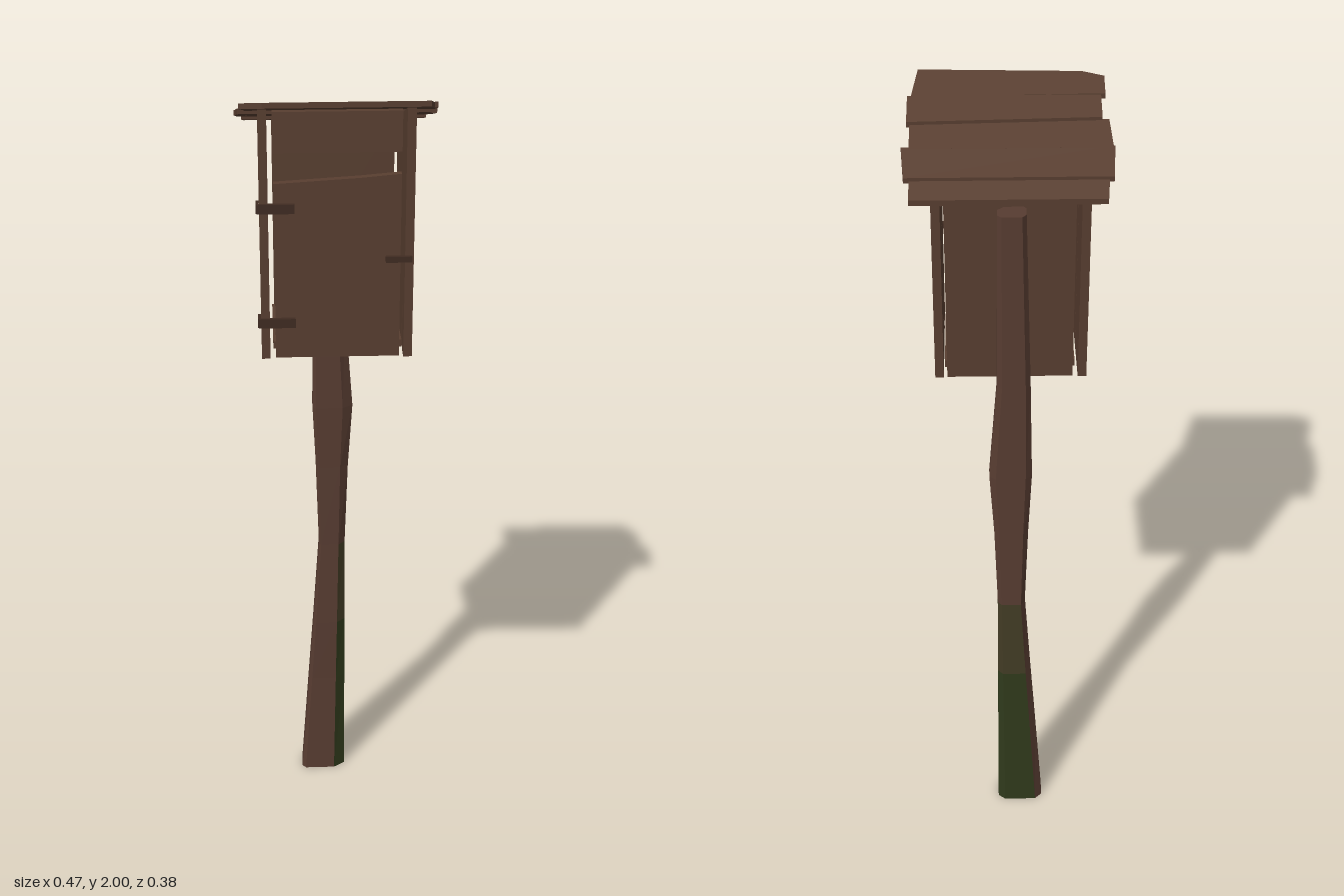
import * as THREE from 'three';

const mat = (name, color, extra = {}) => Object.assign(new THREE.MeshStandardMaterial({ color, ...extra }), { name });

export function createModel() {
  const wood = mat('wood', 0x583e30);
  const postWood = mat('post wood', 0x573c31);
  const moss = mat('moss', 0x303a1c);
  const paleMoss = mat('fading moss', 0x433c25);
  const hingeWood = mat('hinge wood', 0x3f2b21);
  const crackDark = mat('crack', 0x241811);

  const model = new THREE.Group();
  model.name = 'boxOnPost';
  const add = (name, geometry, material, parent = model) => {
    const mesh = new THREE.Mesh(geometry, material);
    mesh.name = name;
    parent.add(mesh);
    return mesh;
  };
  const extrude = (points, depth) => new THREE.ExtrudeGeometry(
    new THREE.Shape(points.map(([a, b]) => new THREE.Vector2(a, b))),
    { depth, bevelEnabled: false });

  // Board drawn in x, y and thickened towards +z
  const frontBoard = (name, points, z, depth, material = wood) =>
    add(name, extrude(points, depth).translate(0, 0, z), material);
  // Board drawn in z, y and thickened towards -x
  const sideBoard = (name, points, x, depth, material = wood) =>
    add(name, extrude(points, depth).rotateY(-Math.PI / 2).translate(x, 0, 0), material);

  // Roof slope: underside height at a given z
  const roofY = z => 1.917 + 0.365 * z;

  // Side walls of two boards each, with a wedge crack at the foot
  for (const [name, x] of [['leftWall', 0.17], ['rightWall', -0.16]]) {
    sideBoard(name + 'FrontBoard', [[0.001, 1.38], [0.085, 1.38], [0.097, 1.5], [0.112, 1.38],
      [0.15, 1.38], [0.15, roofY(0.15)], [0.001, roofY(0.001)]], x, 0.02);
    sideBoard(name + 'BackBoard', [[-0.13, 1.38], [-0.001, 1.38], [-0.001, roofY(-0.001)],
      [-0.13, roofY(-0.13)]], x, 0.02);
    sideBoard(name + 'Crack', [[0.085, 1.38], [0.112, 1.38], [0.097, 1.5]], x - 0.008, 0.004, crackDark);
  }

  // Back, floor, door and lintel, leaving a slot above the door
  frontBoard('back', [[-0.148, 1.38], [0.142, 1.38], [0.142, 1.872], [-0.148, 1.872]], -0.128, 0.018);
  add('floor', new THREE.BoxGeometry(0.3, 0.018, 0.235).translate(-0.003, 1.404, 0.008), wood);
  frontBoard('door', [[-0.147, 1.38], [0.14, 1.38], [0.14, 1.82], [0.05, 1.812], [-0.147, 1.8]], 0.126, 0.018);
  frontBoard('lintel', [[-0.148, 1.865], [0.142, 1.865], [0.142, 1.958], [-0.148, 1.958]], 0.11, 0.016);

  // Hinges wrap from the door round the side wall
  for (const y of [1.745, 1.47]) {
    const hinge = new THREE.Group();
    hinge.name = 'hinge';
    add('hingeStrap', new THREE.BoxGeometry(0.085, 0.022, 0.01).translate(-0.143, y, 0.152), hingeWood, hinge);
    add('hingeReturn', new THREE.BoxGeometry(0.007, 0.022, 0.03).translate(-0.184, y, 0.138), hingeWood, hinge);
    model.add(hinge);
  }
  add('latch', new THREE.BoxGeometry(0.06, 0.014, 0.01).translate(0.136, 1.622, 0.152), hingeWood);

  // Roof planks: plan corners in x, z, each tilted a little on the slope
  const planks = [
    [[-0.218, -0.118], [0.215, -0.118], [0.215, -0.175], [-0.213, -0.175]],
    [[-0.234, -0.033], [0.233, -0.033], [0.227, -0.121], [-0.228, -0.121]],
    [[-0.225, 0.045], [0.215, 0.032], [0.216, -0.038], [-0.231, -0.038]],
    [[-0.21, 0.11], [0.221, 0.11], [0.222, 0.032], [-0.21, 0.042]],
    [[-0.22, 0.168], [-0.17, 0.183], [0.198, 0.192], [0.213, 0.108], [-0.22, 0.114]],
  ];
  planks.forEach((plan, i) => {
    const geometry = extrude(plan.map(([x, z]) => [x, -z]), 0.013).rotateX(-Math.PI / 2);
    const p = geometry.attributes.position;
    const middle = (plan[0][1] + plan[plan.length - 1][1]) / 2;
    const lift = i % 2 ? 0.004 : 0;
    for (let k = 0; k < p.count; k++) {
      const z = p.getZ(k);
      p.setY(k, p.getY(k) + roofY(z) + lift - 0.05 * (z - middle));
    }
    geometry.computeVertexNormals();
    add('roofPlank', geometry, wood);
  });

  // Crooked post: rings of y, x min, x max, z back, z front
  const rings = [
    [0, -0.09, 0.028, -0.188, -0.118], [0.3, -0.069, 0.028, -0.188, -0.121],
    [0.48, -0.056, 0.028, -0.188, -0.122], [0.72, -0.04, 0.028, -0.187, -0.125],
    [0.95, -0.047, 0.036, -0.186, -0.126], [1.12, -0.055, 0.047, -0.184, -0.124],
    [1.38, -0.05, 0.028, -0.181, -0.128], [1.825, -0.038, 0.026, -0.176, -0.129],
  ];
  // Section as fractions of the ring, running from front left corner round the right
  const section = [[0, 0.85], [0.08, 1], [0.75, 1], [1, 0.7], [1, 0.2], [0.85, 0], [0.15, 0], [0, 0.25]];
  const n = section.length;
  const corner = (r, s) => {
    const [y, x0, x1, z0, z1] = rings[r];
    const [u, v] = section[s % n];
    return [x0 + (x1 - x0) * u, y, z0 + (z1 - z0) * v];
  };
  const faces = [[], [], []];
  for (let r = 0; r < rings.length - 1; r++) {
    for (let s = 0; s < n; s++) {
      const a = corner(r, s), b = corner(r, s + 1), c = corner(r + 1, s + 1), d = corner(r + 1, s);
      // Moss climbs the back and the side at x max
      const mossy = s >= 2 && s <= 5;
      const kind = mossy && r < 2 ? 1 : mossy && r === 2 ? 2 : 0;
      faces[kind].push(...a, ...b, ...c, ...a, ...c, ...d);
    }
  }
  const top = rings.length - 1;
  for (let s = 1; s < n - 1; s++) {
    faces[0].push(...corner(0, 0), ...corner(0, s + 1), ...corner(0, s));
    faces[0].push(...corner(top, 0), ...corner(top, s), ...corner(top, s + 1));
  }
  const post = new THREE.Group();
  post.name = 'post';
  [['postBare', postWood], ['postMoss', moss], ['postFadingMoss', paleMoss]].forEach(([name, material], i) => {
    const geometry = new THREE.BufferGeometry();
    geometry.setAttribute('position', new THREE.Float32BufferAttribute(faces[i], 3));
    geometry.computeVertexNormals();
    add(name, geometry, material, post);
  });
  model.add(post);

  return model;
}
